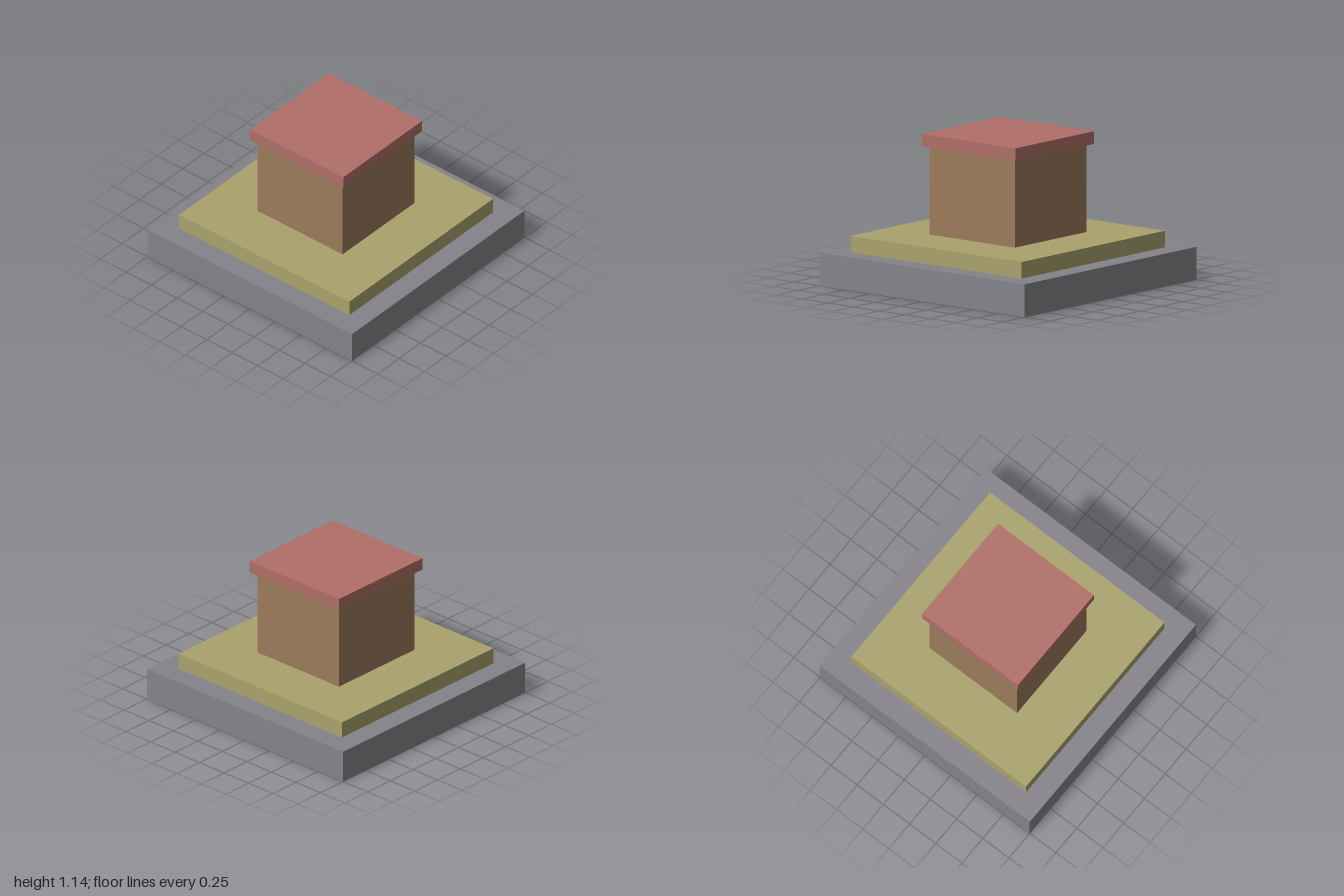
import * as THREE from 'three';

export function createModel() {
  const model = new THREE.Group();

  // Square slab spanning the heights bottom to top
  const slab = (name, width, bottom, top, color) => {
    const mesh = new THREE.Mesh(
      new THREE.BoxGeometry(width, top - bottom, width),
      new THREE.MeshStandardMaterial({ color })
    );
    mesh.name = name;
    mesh.position.y = (bottom + top) / 2;
    model.add(mesh);
  };

  slab('base', 2, 0, 0.25, 0x85838a);
  slab('plinth', 1.666, 0.25, 0.376, 0xaaa26c);
  slab('body', 0.833, 0.376, 1.046, 0x9b7b5c);
  slab('cap', 0.915, 1.046, 1.142, 0xb06e68);

  return model;
}
